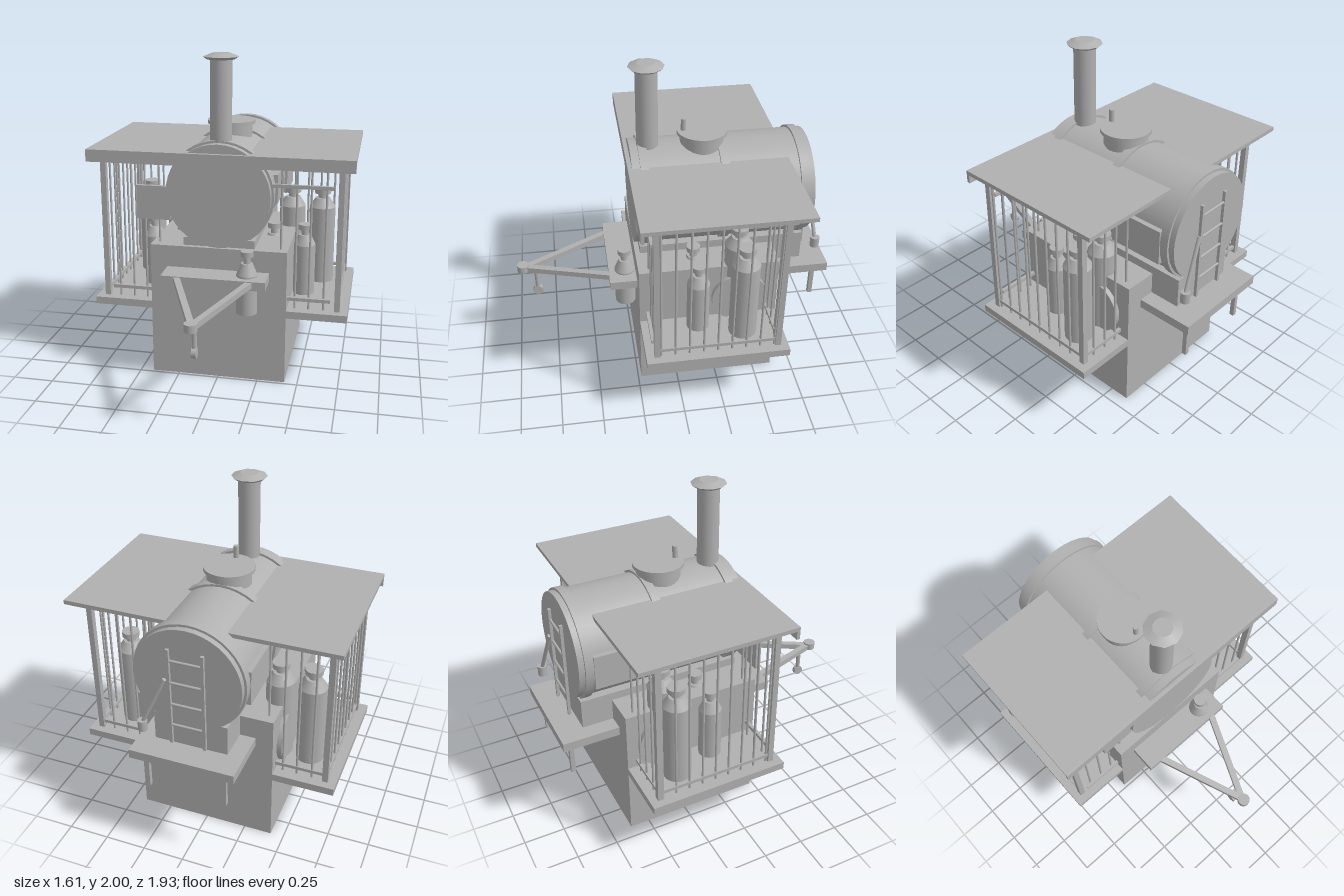
import * as THREE from 'three';

export function createModel() {
  const model = new THREE.Group();
  const grey = new THREE.MeshStandardMaterial({ color: 0xb0b0b0 });
  grey.name = 'plain grey';

  const add = (name, geo, x = 0, y = 0, z = 0) => {
    const m = new THREE.Mesh(geo, grey);
    m.name = name;
    m.position.set(x, y, z);
    model.add(m);
    return m;
  };
  // Box given by its limits
  const box = (name, x0, x1, y0, y1, z0, z1) =>
    add(name, new THREE.BoxGeometry(x1 - x0, y1 - y0, z1 - z0), (x0 + x1) / 2, (y0 + y1) / 2, (z0 + z1) / 2);
  // Upright cylinder
  const post = (name, r, x, z, y0, y1, n = 24, rTop = r) =>
    add(name, new THREE.CylinderGeometry(rTop, r, y1 - y0, n), x, (y0 + y1) / 2, z);
  // Round or square rod between two points
  const rod = (name, a, b, w, h = 0) => {
    const A = new THREE.Vector3(...a), B = new THREE.Vector3(...b), len = A.distanceTo(B);
    const geo = h ? new THREE.BoxGeometry(w, h, len) : new THREE.CylinderGeometry(w, w, len, 10).rotateX(Math.PI / 2);
    const m = add(name, geo);
    m.position.copy(A).add(B).multiplyScalar(0.5);
    m.lookAt(B);
    return m;
  };
  // Drum lying along z
  const drum = (name, r, y, z0, z1) =>
    add(name, new THREE.CylinderGeometry(r, r, z1 - z0, 40).rotateX(Math.PI / 2), 0, y, (z0 + z1) / 2);
  // Gas bottle: body, shoulder, neck and valve cap
  const bottle = (name, r, x, z, base, bodyTop, top) => {
    const s = top - bodyTop;
    post(name + 'Body', r, x, z, base, bodyTop);
    post(name + 'Shoulder', r, x, z, bodyTop, bodyTop + s * 0.48, 24, r * 0.55);
    post(name + 'Neck', r * 0.34, x, z, bodyTop + s * 0.45, top - 0.03, 16);
    post(name + 'Cap', r * 0.62, x, z, top - 0.033, top, 16);
  };

  // Base block, decks and tank saddle
  box('base', -0.42, 0.42, 0, 0.85, -0.62, 0.23);
  box('frontPlatform', -0.315, 0.315, 0.66, 0.715, 0.2, 0.395);
  box('backPlatform', -0.315, 0.315, 0.66, 0.715, -0.965, -0.6);
  box('saddle', -0.22, 0.22, 0.715, 0.9, -0.81, 0.2);

  // Roof with a drop lip along the front
  box('roof', -0.803, 0.803, 1.405, 1.43, -0.69, 0.24);
  box('roofLip', -0.803, 0.803, 1.355, 1.43, 0.235, 0.255);

  // Tank with straps
  drum('tank', 0.316, 1.17, -0.835, 0.23);
  for (const z of [0.157, -0.312, -0.775]) drum('tankStrap', 0.33, 1.17, z - 0.025, z + 0.025);

  // Chimney and cap
  post('chimney', 0.065, 0, 0.12, 1.42, 1.97);
  post('chimneyCapRim', 0.085, 0, 0.12, 1.965, 1.98, 10, 0.105);
  post('chimneyCap', 0.105, 0, 0.12, 1.98, 2, 10, 0.055);

  // Filling hatch
  post('hatchCollar', 0.13, 0, -0.205, 1.42, 1.54, 32);
  post('hatchLid', 0.15, 0, -0.205, 1.54, 1.562, 32);
  post('hatchKnob', 0.016, 0, -0.095, 1.56, 1.635, 12);

  // Ladder on the rear of the tank
  for (const x of [-0.1, 0.1]) box('ladderRail', x - 0.009, x + 0.009, 0.745, 1.36, -0.856, -0.838);
  for (const y of [0.87, 1.01, 1.15, 1.29]) rod('ladderRung', [-0.1, y, -0.847], [0.1, y, -0.847], 0.008);

  // Rear swing arm and its spout
  rod('rearArm', [0.12, 1.17, -0.855], [0.255, 0.87, -0.885], 0.012);
  post('rearSpout', 0.028, 0.255, -0.886, 0.82, 0.885, 16);

  // Rear legs
  for (const x of [-0.235, 0.235]) box('rearLeg', x - 0.013, x + 0.013, 0.43, 0.67, -0.912, -0.885);

  // Drawbar with coupler and jockey wheel
  for (const s of [-1, 1]) rod('drawbar', [s * 0.225, 0.695, 0.37], [0, 0.64, 0.91], 0.038, 0.035);
  post('coupler', 0.037, 0, 0.925, 0.625, 0.67, 20);
  post('jockeyPost', 0.014, 0, 0.845, 0.46, 0.65, 12);
  add('jockeyWheel', new THREE.CylinderGeometry(0.031, 0.031, 0.028, 20).rotateZ(Math.PI / 2), 0, 0.461, 0.845);

  // Front gas bottle hung through the platform
  bottle('frontBottle', 0.063, 0.19, 0.295, 0.48, 0.725, 0.87);

  // Side cages, mirrored
  for (const s of [-1, 1]) {
    const sideBox = (name, x0, x1, ...r) => box(name, Math.min(s * x0, s * x1), Math.max(s * x0, s * x1), ...r);
    sideBox('sideDeck', 0.4, 0.787, 0.43, 0.476, -0.62, 0.23);

    for (const z of [0.165, -0.557]) {
      sideBox('cornerPost', 0.706, 0.74, 0.476, 1.405, z - 0.017, z + 0.017);
      for (const x of [0.375, 0.465, 0.55, 0.64]) post('endBar', 0.007, s * x, z, 0.476, 1.405, 8);
    }
    for (let i = 0; i < 9; i++) post('sideBar', 0.007, s * 0.723, 0.14 - i * 0.0845, 0.476, 1.405, 8);
    sideBox('sideLowRail', 0.713, 0.733, 0.51, 0.53, -0.557, 0.165);
    sideBox('sideTopRail', 0.713, 0.733, 1.387, 1.405, -0.557, 0.165);
    sideBox('backLowRail', 0.42, 0.72, 0.51, 0.53, -0.567, -0.547);
    sideBox('frontLowRail', 0.42, 0.68, 0.532, 0.553, 0.172, 0.192);

    // Two tall and two short bottles
    for (const x of [0.38, 0.575]) bottle('tallBottle', 0.084, s * x, -0.375, 0.476, 0.98, 1.1);
    for (const x of [0.295, 0.49]) bottle('shortBottle', 0.068, s * x, -0.115, 0.476, 0.8, 0.93);

    // Disc on the side of the base and plates on the tank
    add('sideDisc', new THREE.CylinderGeometry(0.17, 0.17, 0.04, 32).rotateZ(Math.PI / 2), s * 0.43, 0.62, -0.38);
    sideBox('smallTankPlate', 0.3, 0.33, 1.09, 1.27, -0.155, 0.02);
    sideBox('largeTankPlate', 0.3, 0.334, 1.045, 1.255, -0.75, -0.41);
  }
  // Upper front rail on one cage, panel on the other
  box('frontHighRail', 0.31, 0.68, 1.235, 1.256, 0.172, 0.192);
  box('frontPanel', -0.51, -0.3, 1.0, 1.21, 0.17, 0.195);

  return model;
}
